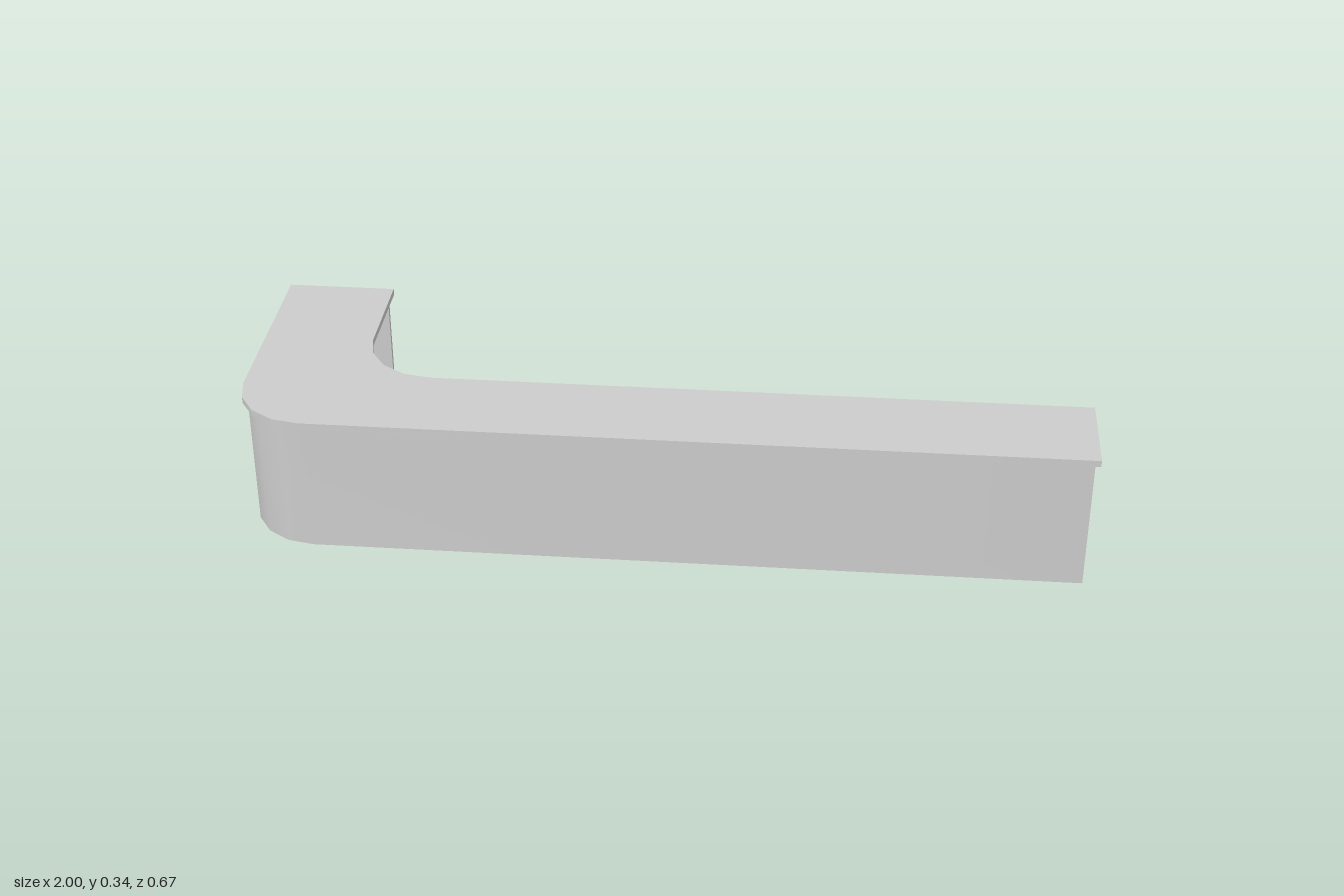
import * as THREE from 'three';
import { toCreasedNormals } from 'three/addons/utils/BufferGeometryUtils.js';

const TOP = 0.341, BODY = 0.325; // worktop surface and panel heights
const T = 0.012;                 // panel thickness

export function createModel() {
  const group = new THREE.Group();
  group.name = 'cornerCounter';
  const material = new THREE.MeshStandardMaterial({ color: 0xcccccc });

  const add = (name, geometry) => {
    const mesh = new THREE.Mesh(geometry, material);
    mesh.name = name;
    group.add(mesh);
    return mesh;
  };

  // Plan shape (x, z) extruded between two heights, with the bends shaded smooth
  const slab = (name, shape, y0, y1) => {
    const g = new THREE.ExtrudeGeometry(shape, { depth: y1 - y0, bevelEnabled: false, curveSegments: 2 });
    g.rotateX(Math.PI / 2).translate(0, y1, 0);
    add(name, toCreasedNormals(g, 0.6));
  };

  // L-shaped strip: outer edge (xo, zo), inner edge (xi, zi), ends at xEnd and zEnd
  const lShape = (xo, zo, ro, xi, zi, ri, xEnd, zEnd) => {
    const s = new THREE.Shape();
    s.moveTo(xEnd, zi);
    s.lineTo(xEnd, zo);
    s.lineTo(xo + ro, zo);
    s.absarc(xo + ro, zo - ro, ro, Math.PI / 2, Math.PI, false);
    s.lineTo(xo, zEnd);
    s.lineTo(xi, zEnd);
    s.lineTo(xi, zi - ri);
    s.absarc(xi + ri, zi - ri, ri, Math.PI, Math.PI / 2, true);
    s.closePath();
    return s;
  };

  // Overhanging worktop
  slab('worktop', lShape(-1, 0.333, 0.17, -0.735, 0.1, 0.17, 1, -0.333), BODY, TOP);

  // Curved outer panel, open on the inner side
  slab('outerPanel', lShape(-0.988, 0.325, 0.165, -0.988 + T, 0.325 - T, 0.165 - T, 0.988 - T, -0.325 + T), 0, BODY);

  // End panels closing both arms
  const endPanel = (name, x0, x1, z0, z1) =>
    add(name, new THREE.BoxGeometry(x1 - x0, BODY, z1 - z0))
      .position.set((x0 + x1) / 2, BODY / 2, (z0 + z1) / 2);
  endPanel('leftEndPanel', 0.988 - T, 0.988, 0.111, 0.325);
  endPanel('backEndPanel', -0.988, -0.747, -0.325, -0.325 + T);

  return group;
}
